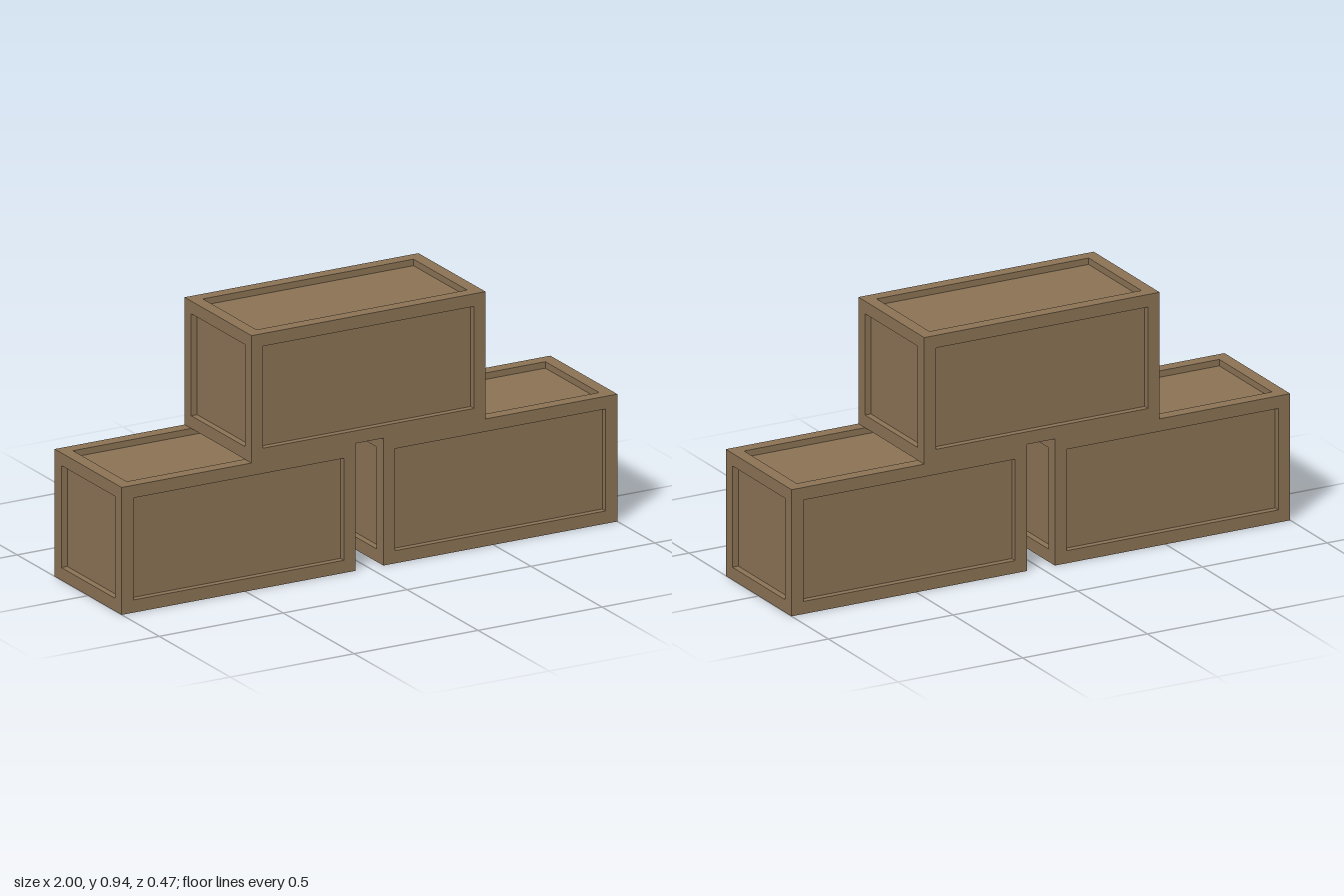
import * as THREE from 'three';

const SIZE = [0.944, 0.472, 0.472]; // crate width, height, depth
const FRAME = 0.047;                // width of the raised border
const RECESS = 0.024;               // depth of the sunken panels

// One crate: each of the six sides is a border, four recess walls and a sunken panel.
function crateGeometry() {
  const half = SIZE.map((s) => s / 2);
  const positions = [];
  const quad = (a, b, c, d) => positions.push(...a, ...b, ...c, ...a, ...c, ...d);

  for (let n = 0; n < 3; n++) {
    for (const sign of [1, -1]) {
      let u = (n + 1) % 3;
      let v = (n + 2) % 3;
      if (sign < 0) [u, v] = [v, u]; // keep corners counter-clockwise from outside

      const loop = (inset, depth) =>
        [[-1, -1], [1, -1], [1, 1], [-1, 1]].map(([su, sv]) => {
          const p = [0, 0, 0];
          p[u] = su * (half[u] - inset);
          p[v] = sv * (half[v] - inset);
          p[n] = sign * (half[n] - depth);
          return p;
        });

      const loops = [loop(0, 0), loop(FRAME, 0), loop(FRAME, RECESS)];
      for (let k = 0; k < 2; k++) {
        for (let i = 0; i < 4; i++) {
          const j = (i + 1) % 4;
          quad(loops[k][i], loops[k][j], loops[k + 1][j], loops[k + 1][i]);
        }
      }
      quad(...loops[2]);
    }
  }

  const geometry = new THREE.BufferGeometry();
  geometry.setAttribute('position', new THREE.Float32BufferAttribute(positions, 3));
  geometry.computeVertexNormals();
  return geometry;
}

export function createModel() {
  const group = new THREE.Group();
  group.name = 'crateStack';
  const geometry = crateGeometry();
  const wood = new THREE.MeshStandardMaterial({ color: 0x8b7355, flatShading: true });

  // Two crates on the ground with a gap, one on top bridging them
  const crates = [
    ['rightCrate', -0.528, 0],
    ['leftCrate', 0.528, 0],
    ['topCrate', -0.004, 1],
  ];
  for (const [name, x, level] of crates) {
    const crate = new THREE.Mesh(geometry, wood);
    crate.name = name;
    crate.position.set(x, SIZE[1] * (level + 0.5), 0);
    group.add(crate);
  }
  return group;
}
